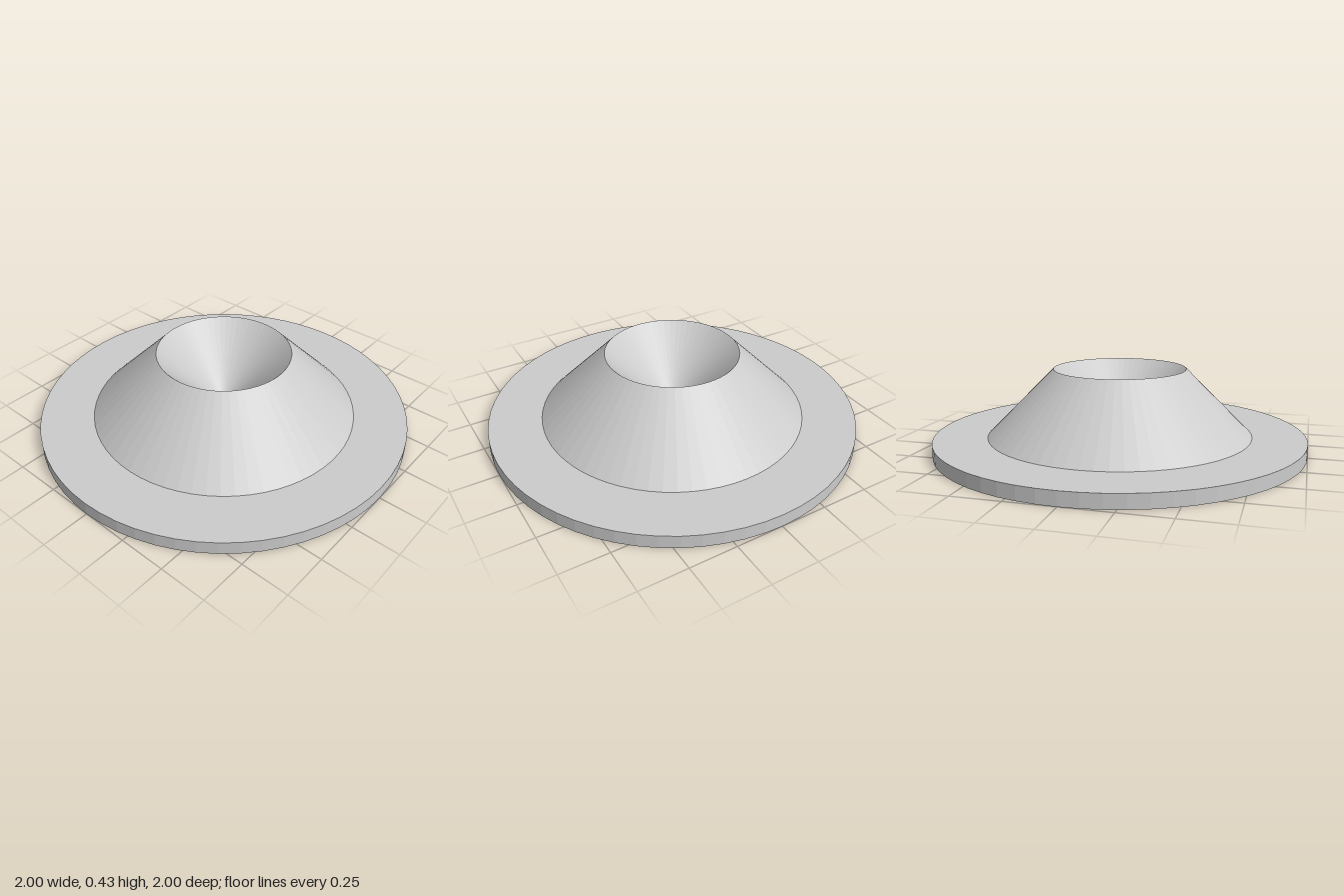
import * as THREE from 'three';

const SEGMENTS = 64;

// Faceted surface of revolution from [radius, height] pairs
function turned(name, profile, material) {
  const points = profile.map(([r, y]) => new THREE.Vector2(r, y));
  const mesh = new THREE.Mesh(new THREE.LatheGeometry(points, SEGMENTS), material);
  mesh.name = name;
  return mesh;
}

export function createModel() {
  const group = new THREE.Group();
  group.name = 'flangedCone';
  const material = new THREE.MeshStandardMaterial({ color: 0xcccccc, flatShading: true });

  const rimY = 0.0714, topY = 0.4286;   // flange thickness, overall height
  const footR = 0.714, mouthR = 0.357;  // cone radius at the foot and at the mouth

  // Flat round flange: underside, edge and the ring around the cone
  group.add(turned('flange', [[0, 0], [1, 0], [1, rimY], [footR, rimY]], material));

  // Sloping outer wall up to a sharp lip
  group.add(turned('coneWall', [[footR, rimY], [mouthR, topY]], material));

  // Conical recess running down to a point at flange level
  group.add(turned('recess', [[mouthR, topY], [0, rimY]], material));

  return group;
}
